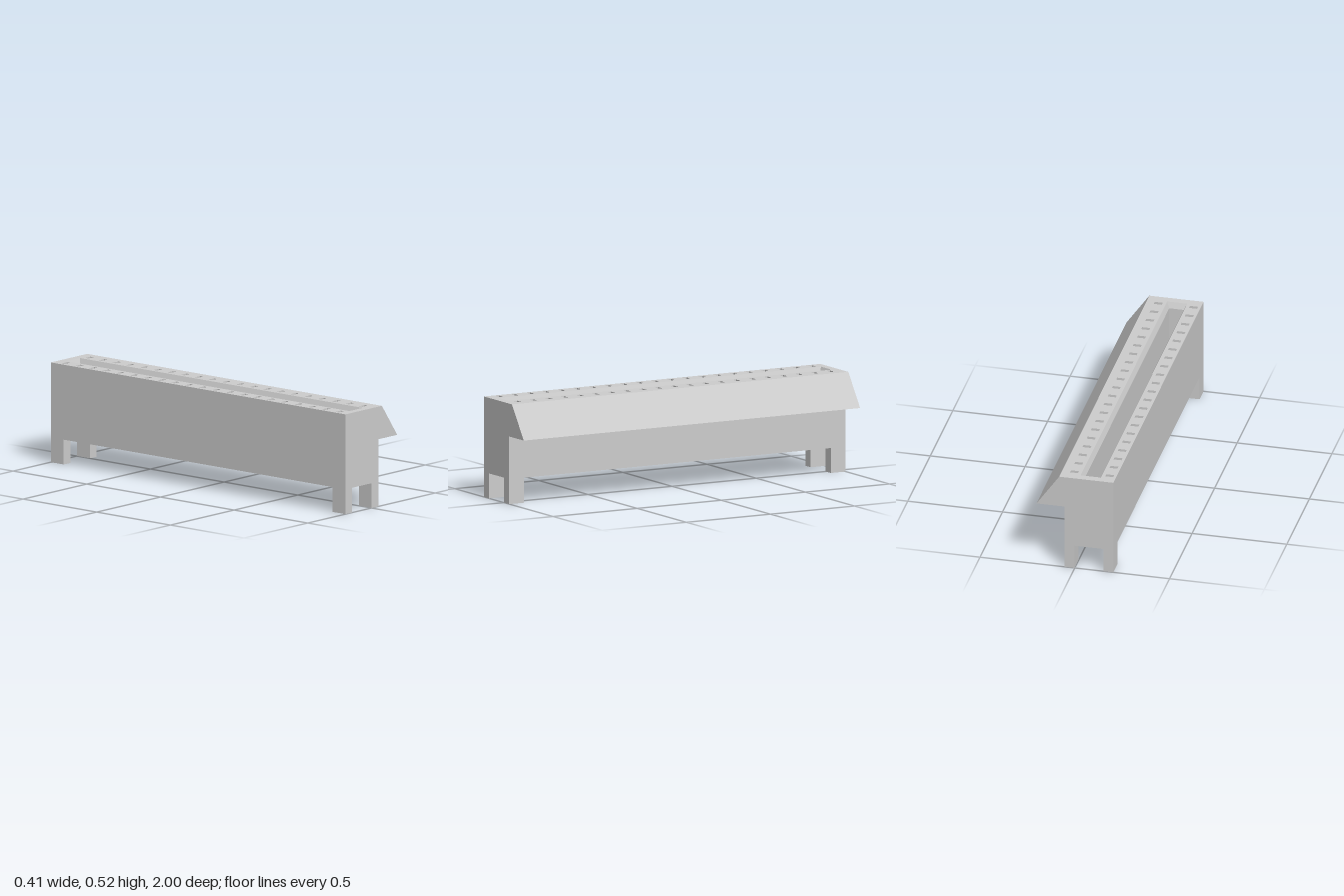
import * as THREE from 'three';

const TOP = 0.523, BASE = 0.13, CX = -0.075;

// Flat-shaded mesh from quads, each listed counter-clockwise seen from its front
function quadMesh(name, quads, material) {
  const pos = [];
  for (const [a, b, c, d] of quads) pos.push(...a, ...b, ...c, ...a, ...c, ...d);
  const geo = new THREE.BufferGeometry();
  geo.setAttribute('position', new THREE.Float32BufferAttribute(pos, 3));
  geo.computeVertexNormals();
  const mesh = new THREE.Mesh(geo, material);
  mesh.name = name;
  return mesh;
}

// Counter-clockwise rectangle in a plane: centre and half sizes
function rectPoints(cx, cy, hx, hy) {
  return [[cx - hx, cy - hy], [cx + hx, cy - hy], [cx + hx, cy + hy], [cx - hx, cy + hy]];
}

// Quads of a recess: rings of [halfX, halfZ, y] from the rim to the floor
function pitQuads(cx, cz, rings) {
  const loops = rings.map(([hx, hz, y]) => rectPoints(cx, cz, hx, hz).map(([x, z]) => [x, y, z]));
  const quads = [];
  for (let r = 0; r < loops.length - 1; r++) {
    for (let i = 0; i < 4; i++) {
      const j = (i + 1) % 4;
      quads.push([loops[r][i], loops[r][j], loops[r + 1][j], loops[r + 1][i]]);
    }
  }
  const f = loops[loops.length - 1];
  quads.push([f[3], f[2], f[1], f[0]]);
  return quads;
}

export function createModel() {
  const group = new THREE.Group();
  group.name = 'slotConnector';
  const mat = new THREE.MeshStandardMaterial({ color: 0xcccccc, side: THREE.DoubleSide });
  const toShape = (pts) => new THREE.Shape(pts.map(([x, y]) => new THREE.Vector2(x, y)));

  // Cross-section, running from the top left corner round to the top right one
  const profile = [[-0.204, TOP], [-0.204, BASE], [0.054, BASE], [0.054, 0.352], [0.202, 0.352], [0.082, TOP]];
  const skin = [];
  for (let i = 0; i < profile.length - 1; i++) {
    const [a, b] = [profile[i], profile[i + 1]];
    skin.push([[...a, 1], [...a, -1], [...b, -1], [...b, 1]]);
  }
  group.add(quadMesh('housing', skin, mat));

  // Ends of the housing
  for (const s of [1, -1]) {
    const pts = s > 0 ? profile : profile.map(([x, y]) => [-x, y]);
    const end = new THREE.Mesh(new THREE.ShapeGeometry(toShape(pts)), mat);
    end.name = s > 0 ? 'frontEnd' : 'backEnd';
    end.position.z = s;
    if (s < 0) end.rotation.y = Math.PI;
    group.add(end);
  }

  // Contact pockets in two rows, and the long slot with its chamfered mouth
  const slot = [[0.053, 0.96, TOP], [0.039, 0.945, TOP - 0.03], [0.039, 0.945, TOP - 0.25]];
  const pockets = [];
  for (const side of [-1, 1]) {
    for (let i = 0; i < 21; i++) pockets.push([CX + side * 0.093, (i - 10) * 0.093]);
  }
  group.add(quadMesh('slot', pitQuads(CX, 0, slot), mat));
  const pocketRings = [[0.021, 0.011, TOP], [0.021, 0.011, TOP - 0.03]];
  group.add(quadMesh('contactPockets', pockets.flatMap(([x, z]) => pitQuads(x, z, pocketRings)), mat));

  // Top face, cut open for the slot and pockets
  const top = toShape(rectPoints(-0.061, 0, 0.143, 1));
  const cut = (x, z, hx, hz) => top.holes.push(toShape(rectPoints(x, -z, hx, hz).reverse()));
  cut(CX, 0, slot[0][0], slot[0][1]);
  pockets.forEach(([x, z]) => cut(x, z, 0.021, 0.011));
  const topGeo = new THREE.ShapeGeometry(top);
  topGeo.rotateX(-Math.PI / 2);
  const topMesh = new THREE.Mesh(topGeo, mat);
  topMesh.name = 'topFace';
  topMesh.position.y = TOP;
  group.add(topMesh);

  // Corner feet
  const footGeo = new THREE.BoxGeometry(0.052, BASE, 0.088);
  for (const sx of [-1, 1]) {
    for (const sz of [-1, 1]) {
      const foot = new THREE.Mesh(footGeo, mat);
      foot.name = (sz > 0 ? 'front' : 'back') + (sx > 0 ? 'Left' : 'Right') + 'Foot';
      foot.position.set(CX + sx * 0.103, BASE / 2, sz * 0.956);
      group.add(foot);
    }
  }
  return group;
}
